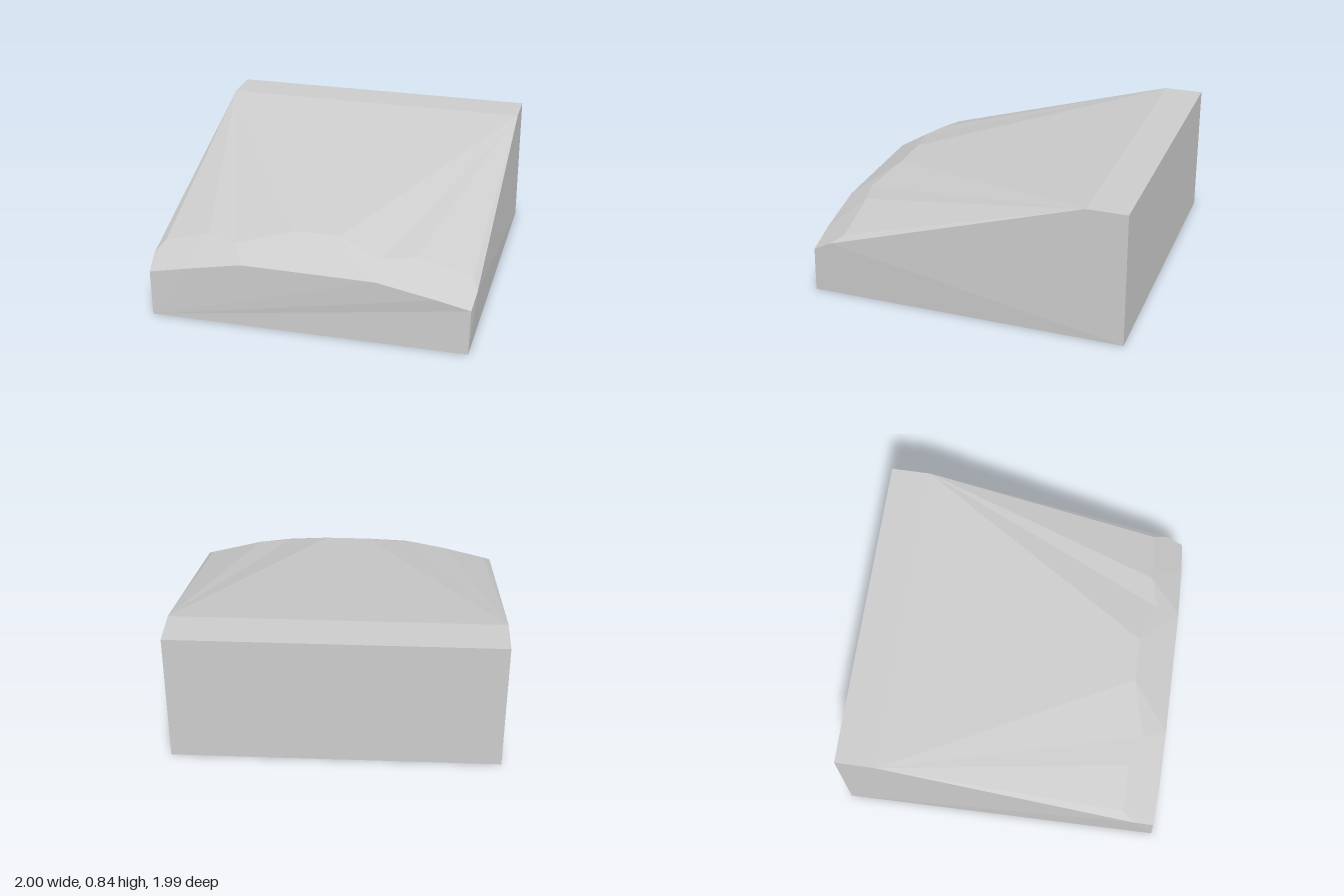
import * as THREE from 'three';

// Collects flat polygons (corners counter-clockwise from outside) into one faceted mesh
function facetMesh(name, polygons, material) {
  const positions = [];
  for (const p of polygons) {
    for (let i = 1; i < p.length - 1; i++) positions.push(...p[0], ...p[i], ...p[i + 1]);
  }
  const geometry = new THREE.BufferGeometry();
  geometry.setAttribute('position', new THREE.Float32BufferAttribute(positions, 3));
  geometry.computeVertexNormals();
  const mesh = new THREE.Mesh(geometry, material);
  mesh.name = name;
  return mesh;
}

// Joins two rows of points running along x, back row first
function zip(back, front) {
  const faces = [];
  let i = 0, j = 0;
  while (i < back.length - 1 || j < front.length - 1) {
    const backX = i < back.length - 1 ? back[i + 1][0] : Infinity;
    const frontX = j < front.length - 1 ? front[j + 1][0] : Infinity;
    if (backX < frontX) faces.push([back[i], front[j], back[++i]]);
    else faces.push([back[i], front[j], front[++j]]);
  }
  return faces;
}

export function createModel() {
  const grey = new THREE.MeshStandardMaterial({ color: 0xcccccc });
  grey.name = 'light grey';

  // Corners of the block
  const baseBL = [-1, 0, -1], baseBR = [1, 0, -1];
  const baseFL = [-0.975, 0, 0.99], baseFR = [0.98, 0, 0.98];
  const topBL = [-1, 0.84, -1], topBR = [1, 0.84, -1];
  const crestL = [-1, 0.84, -0.75], crestR = [1, 0.84, -0.75];

  // Uneven edge where the slope turns down
  const ridge = [
    [-1, 0.35, 0.85], [-0.95, 0.41, 0.77], [-0.67, 0.48, 0.77], [-0.47, 0.48, 0.84],
    [-0.13, 0.555, 0.745], [0.15, 0.555, 0.745], [0.42, 0.48, 0.84], [0.62, 0.49, 0.78],
    [0.96, 0.405, 0.77], [1, 0.35, 0.85],
  ];
  // Upper edge of the front face
  const lip = [
    [-0.985, 0.285, 0.975], [-0.75, 0.34, 0.985], [-0.4, 0.41, 0.985],
    [0.42, 0.405, 0.985], [0.78, 0.335, 0.98], [0.985, 0.285, 0.97],
  ];
  const sideL = ridge[0], sideR = ridge[9];

  // Slope fans out from the two crest corners
  const slope = [[crestL, ridge[4], ridge[5], crestR]];
  for (let i = 0; i < 4; i++) {
    slope.push([crestL, ridge[i], ridge[i + 1]], [crestR, ridge[i + 5], ridge[i + 6]]);
  }

  const frontFace = [[baseFL, baseFR, lip[5]]];
  for (let i = 0; i < 5; i++) frontFace.push([baseFL, lip[i + 1], lip[i]]);

  const group = new THREE.Group();
  group.name = 'wedgeBlock';
  group.add(
    facetMesh('slope', slope, grey),
    facetMesh('bevel', zip(ridge, lip), grey),
    facetMesh('frontFace', frontFace, grey),
    facetMesh('topLedge', [[topBL, crestL, crestR, topBR]], grey),
    facetMesh('rightSide', [[sideL, crestL, topBL, baseBL, baseFL, lip[0]]], grey),
    facetMesh('leftSide', [[sideR, lip[5], baseFR, baseBR, topBR, crestR]], grey),
    facetMesh('backFace', [[baseBR, baseBL, topBL, topBR]], grey),
    facetMesh('underside', [[baseBL, baseBR, baseFR, baseFL]], grey),
  );
  return group;
}
